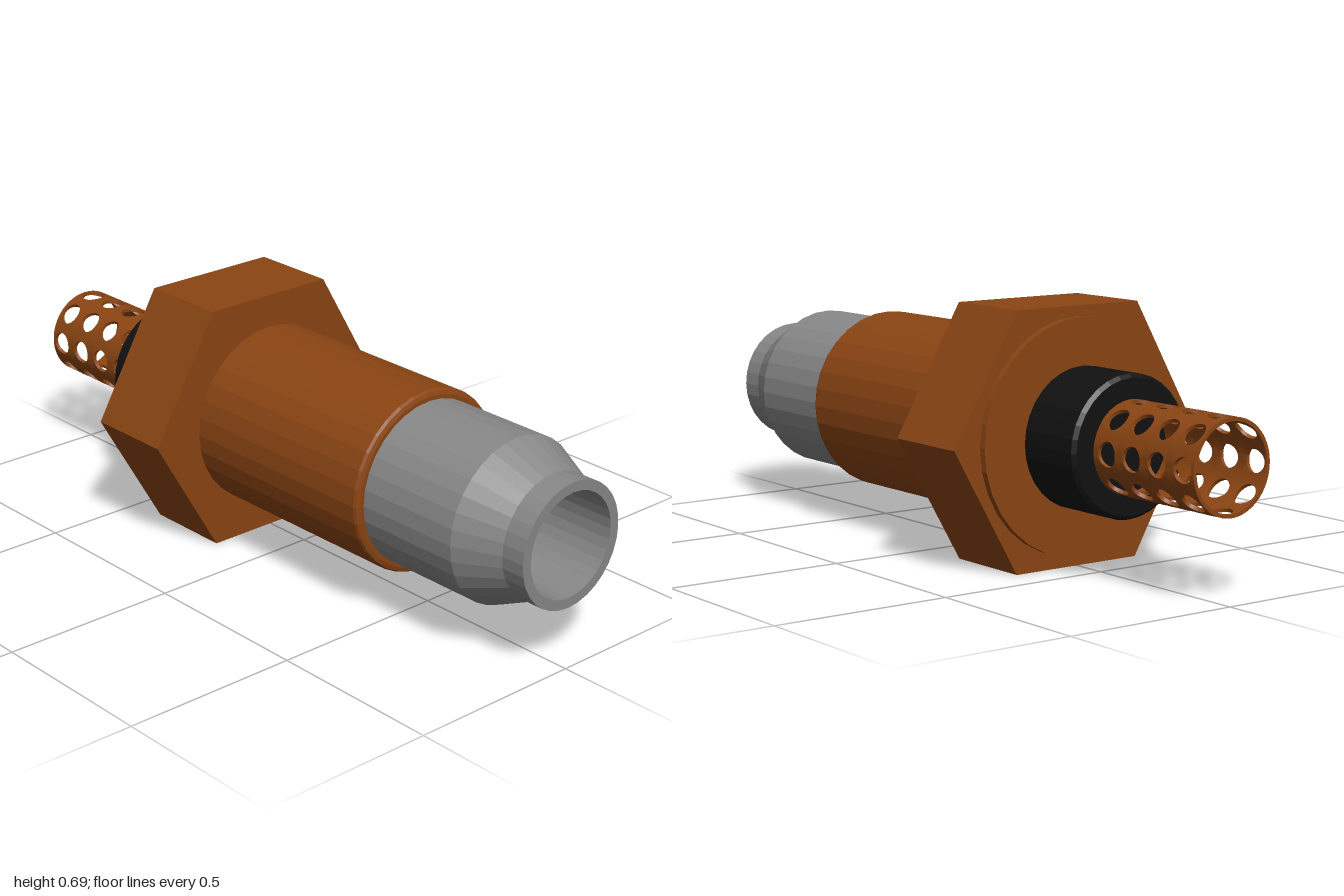
import * as THREE from 'three';
import { mergeGeometries, toCreasedNormals } from 'three/addons/utils/BufferGeometryUtils.js';

const SIDES = 32;
const AXIS_Y = 0.3464; // height of the long axis: half the hexagon's flat-to-flat width

const copper = new THREE.MeshStandardMaterial({ color: 0x8b4513, flatShading: true });
const black = new THREE.MeshStandardMaterial({ color: 0x111111, flatShading: true });
const steel = new THREE.MeshStandardMaterial({ color: 0x888888, flatShading: true });
const tubeCopper = new THREE.MeshStandardMaterial({ color: 0x8b4513, side: THREE.DoubleSide });

function addPart(group, name, geometry, material) {
  const mesh = new THREE.Mesh(geometry, material);
  mesh.name = name;
  group.add(mesh);
}

// Revolves [x, radius] pairs about the x axis
function turned(profile, sides = SIDES) {
  const points = profile.map(([x, r]) => new THREE.Vector2(r, x));
  return new THREE.LatheGeometry(points, sides).rotateZ(-Math.PI / 2);
}

// One curved tile of the tube wall with a round hole through it
function perforatedTile(x, left, right, theta, halfAngle, hole, outer, inner) {
  const steps = 32;
  const positions = [], index = [];
  for (let k = 0; k <= steps; k++) {
    const a = (k / steps) * Math.PI * 2;
    const c = Math.cos(a), s = Math.sin(a);
    const m = Math.max(Math.abs(c), Math.abs(s));
    const edgeX = x + (c / m) * (c > 0 ? right : left);
    const edgeT = theta + (s / m) * halfAngle;
    const holeX = x + c * hole;
    const holeT = theta + Math.asin((s * hole) / outer);
    const ring = [[edgeX, edgeT, outer], [holeX, holeT, outer], [holeX, holeT, inner], [edgeX, edgeT, inner]];
    for (const [px, t, r] of ring) positions.push(px, r * Math.cos(t), r * Math.sin(t));
    if (k === steps) break;
    for (let j = 0; j < 3; j++) {
      const p = k * 4 + j, q = p + 4;
      index.push(p, p + 1, q + 1, p, q + 1, q);
    }
  }
  const geometry = new THREE.BufferGeometry();
  geometry.setAttribute('position', new THREE.Float32BufferAttribute(positions, 3));
  geometry.setIndex(index);
  return geometry;
}

function perforatedTube() {
  const outer = 0.125, inner = 0.115, pitch = 0.096, columns = 4, around = 8;
  const tiles = [];
  for (let i = 0; i < columns; i++) {
    const x = -0.959 + i * pitch;
    const left = i === 0 ? 0.041 : pitch / 2;
    const right = i === columns - 1 ? 0.065 : pitch / 2;
    for (let k = 0; k < around; k++) {
      const theta = (k / around) * Math.PI * 2;
      tiles.push(perforatedTile(x, left, right, theta, Math.PI / around, 0.033, outer, inner));
    }
  }
  return toCreasedNormals(mergeGeometries(tiles), 0.6);
}

export function createModel() {
  const model = new THREE.Group();
  model.name = 'sensor';
  const axis = new THREE.Group();
  axis.name = 'sensorBody';
  axis.position.y = AXIS_Y;
  model.add(axis);

  // Perforated guard with its open end rim
  addPart(axis, 'perforatedTube', perforatedTube(), tubeCopper);
  const rim = new THREE.RingGeometry(0.115, 0.125, 64).rotateY(-Math.PI / 2).translate(-1, 0, 0);
  addPart(axis, 'tubeRim', rim, tubeCopper);

  // Black collar with bevelled edge
  addPart(axis, 'collar', turned([
    [-0.62, 0], [-0.62, 0.18], [-0.61, 0.19], [-0.41, 0.19], [-0.41, 0],
  ]), black);

  // Washer and hexagonal nut
  addPart(axis, 'washer', turned([[-0.42, 0], [-0.42, 0.319], [-0.395, 0.319], [-0.395, 0]]), copper);
  const hex = new THREE.CylinderGeometry(0.4, 0.4, 0.255, 6).rotateZ(-Math.PI / 2).translate(-0.2725, 0, 0);
  addPart(axis, 'hexNut', hex, copper);

  // Round barrel
  addPart(axis, 'barrel', turned([
    [-0.16, 0], [-0.16, 0.255], [0.478, 0.255], [0.486, 0.251], [0.49, 0.24], [0.49, 0],
  ]), copper);

  // Tapered sleeve with a blind bore
  addPart(axis, 'sleeve', turned([
    [0.48, 0], [0.48, 0.229], [0.805, 0.229], [0.93, 0.173],
    [1, 0.173], [1, 0.145], [0.5, 0.145], [0.5, 0],
  ]), steel);

  return model;
}
